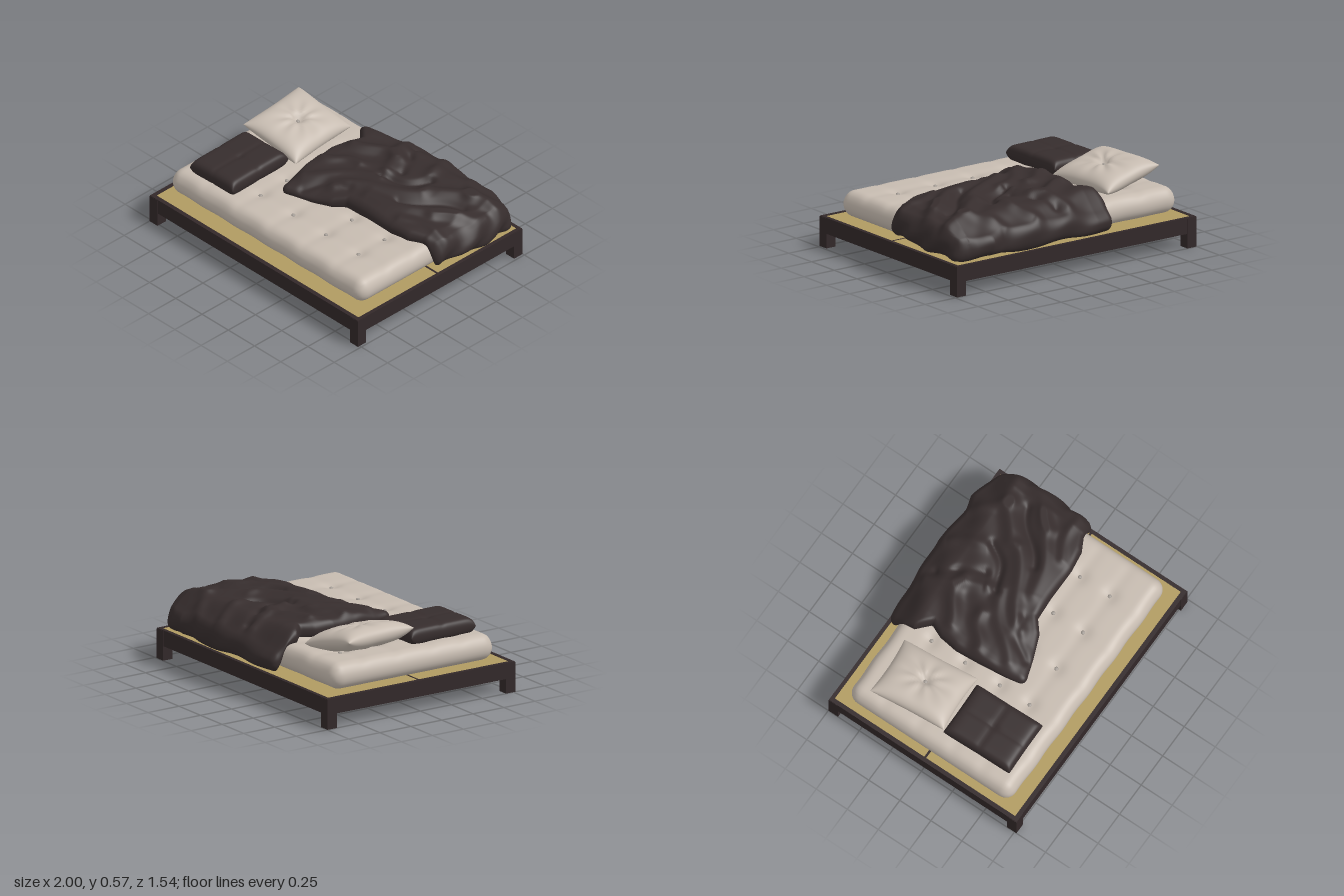
import * as THREE from 'three';
import { mergeVertices } from 'three/addons/utils/BufferGeometryUtils.js';

const { clamp, lerp, smoothstep } = THREE.MathUtils;
const mat = (name, color) => new THREE.MeshStandardMaterial({ name, color });

// Piecewise curve through [t, value] pairs
function curve(points, t) {
  for (let i = 1; i < points.length; i++) {
    const [a, va] = points[i - 1], [b, vb] = points[i];
    if (t <= b) return lerp(va, vb, clamp((t - a) / (b - a), 0, 1));
  }
  return points[points.length - 1][1];
}

// Move every vertex of a geometry by a rule and rebuild smooth normals
function reshape(geo, rule) {
  geo.deleteAttribute('uv');
  geo.deleteAttribute('normal');
  const p = geo.attributes.position, v = new THREE.Vector3();
  for (let i = 0; i < p.count; i++) {
    rule(v.fromBufferAttribute(p, i));
    p.setXYZ(i, v.x, v.y, v.z);
  }
  const merged = mergeVertices(geo, 1e-5);
  merged.computeVertexNormals();
  return merged;
}

// Finely divided box with round edges, then warped
function softBox(w, h, d, r, sx, sy, sz, warp) {
  const core = new THREE.Vector3();
  return reshape(new THREE.BoxGeometry(w, h, d, sx, sy, sz), v => {
    core.set(
      clamp(v.x, r - w / 2, w / 2 - r),
      clamp(v.y, r - h / 2, h / 2 - r),
      clamp(v.z, r - d / 2, d / 2 - r));
    v.sub(core);
    if (v.length() > 0) v.setLength(r);
    v.add(core);
    warp(v);
  });
}

// Pillow: two puffed faces meeting in a seam
function pillow(w, h, d, pinch, power, crease) {
  return reshape(new THREE.BoxGeometry(2, 2, 2, 48, 1, 48), v => {
    const u = Math.sin(v.x * Math.PI / 2), t = Math.sin(v.z * Math.PI / 2);
    const puff = Math.sqrt(Math.max(0, (1 - Math.abs(u) ** power) * (1 - Math.abs(t) ** power)));
    v.y = v.y * puff * (h / 2) * crease(u, t);
    v.x = u * w / 2 * (1 - pinch * (1 - t * t));
    v.z = t * d / 2 * (1 - pinch * (1 - u * u));
  });
}

// Duvet outline and height
const LEFT = [[0, -.34], [.2, -.33], [.28, -.24], [.37, -.28], [.5, -.3], [.7, -.285], [.85, -.265], [1, -.235]];
const RIGHT = [[0, .94], [.1, .97], [.4, 1], [.7, .99], [1, .96]];
const BACK = [[0, -.73], [.25, -.75], [.5, -.77], [.72, -.745], [.8, -.77], [.9, -.74], [1, -.7]];
const FRONT = [[0, .305], [.15, .245], [.29, .18], [.36, .11], [.5, .1], [.7, .1], [.82, .08], [.9, .03], [1, .01]];
const CREST = [[-.34, .485], [-.2, .495], [0, .485], [.2, .49], [.6, .48], [.86, .455], [.93, .425], [1, .36]];
// Folds: start x, z, end x, z, height, width
const FOLDS = [
  [-.2, .12, .2, -.2, .03, .05], [.05, .08, .5, -.28, .03, .05], [.2, -.2, .45, -.42, -.03, .03],
  [.5, -.36, .9, -.55, .028, .055], [.3, 0, .85, -.25, .026, .055], [-.2, -.35, .15, -.45, .03, .05],
  [.0, -.66, .15, -.3, .026, .04], [.1, -.62, .24, -.36, -.024, .03], [.3, -.7, .42, -.45, .024, .045],
  [.55, -.72, .75, -.5, .024, .045], [.6, 0, .93, -.08, .02, .04], [-.24, -.1, 0, -.2, .03, .05],
  [.45, -.12, .8, -.38, -.022, .03], [-.12, .2, .12, .02, -.016, .03], [.75, -.15, .95, -.45, .02, .045],
];
function foldHeight(x, z) {
  let y = 0;
  for (const [ax, az, bx, bz, h, w] of FOLDS) {
    const dx = bx - ax, dz = bz - az;
    const k = clamp(((x - ax) * dx + (z - az) * dz) / (dx * dx + dz * dz), 0, 1);
    const bend = .02 * Math.sin(k * 5 + ax * 9);
    const ox = x - ax - k * dx + bend, oz = z - az - k * dz + bend;
    y += h * Math.exp(-(ox * ox + oz * oz) / (w * w));
  }
  const q = x * .6 + z * .8 + .03 * Math.sin(x * 9);
  return clamp(y + .005 * Math.sin(q * 30), -.035, .038);
}
function duvetWarp(v) {
  const u = clamp(v.x / 1.25 + .5, 0, 1), t = clamp(v.z / .9 + .5, 0, 1), k = v.y / .1 + .5;
  const x = lerp(curve(LEFT, t), curve(RIGHT, t), u);
  const z = lerp(curve(BACK, u), curve(FRONT, u), t);
  const over = Math.max(smoothstep(x, .86, .93), 1 - smoothstep(z, -.69, -.6));
  const hem = lerp(.225, .25, smoothstep(z, -.6, -.2));
  const floor = lerp(.375, hem + .01 * Math.sin(z * 17 + x * 11), over);
  let top = curve(CREST, x) + foldHeight(x, z);
  top -= .11 * (1 - smoothstep(z, -.78, -.54));
  top -= .07 * (1 - smoothstep(z, -.72, -.5)) * (1 - smoothstep(x, -.3, .1));
  top -= .045 * smoothstep(z, 0, .28);
  // Vertical pleats along the hanging sides
  if (x > .86) v.x = x + .01 * over * Math.sin(z * 26 + k * 4);
  else v.x = x;
  v.z = z + .004 * over * Math.sin(x * 20 + k * 4);
  v.y = lerp(floor, Math.max(top, floor + .05), k);
}

export function createModel() {
  const root = new THREE.Group();
  const darkWood = mat('darkWood', 0x322829);
  const darkCloth = mat('darkCloth', 0x362d2d);
  const cream = mat('creamCotton', 0xc6bbb0);
  const straw = mat('straw', 0xb09b61);
  const buttonGrey = mat('buttonGrey', 0xa39c95);

  const add = (name, geo, material, x = 0, y = 0, z = 0) => {
    const m = new THREE.Mesh(geo, material);
    m.name = name;
    m.position.set(x, y, z);
    root.add(m);
    return m;
  };
  const box = (name, material, x0, x1, y0, y1, z0, z1) => add(name,
    new THREE.BoxGeometry(x1 - x0, y1 - y0, z1 - z0), material,
    (x0 + x1) / 2, (y0 + y1) / 2, (z0 + z1) / 2);

  // Bed frame
  for (const x of [-1, .908]) for (const z of [-.748, .69])
    box('leg', darkWood, x, x + .076, 0, .205, z, z + .076);
  box('frontRail', darkWood, -.998, .982, .1, .21, .733, .764);
  box('backRail', darkWood, -.998, .982, .1, .21, -.746, -.72);
  box('rightRail', darkWood, -.998, -.968, .1, .21, -.72, .733);
  box('leftRail', darkWood, .955, .982, .1, .21, -.72, .733);
  box('basePanel', darkWood, -.968, .955, .115, .19, -.72, .733);

  // Two straw mats with a dark joint between them
  box('backMat', straw, -.968, .955, .19, .208, -.72, 0);
  box('frontMat', straw, -.968, .955, .19, .208, .016, .733);
  box('matJoint', darkWood, -.968, .955, .19, .2075, 0, .016);

  // Tufted mattress
  const cols = [-.63, -.32, -.01, .3, .61], rows = [-.39, -.12, .16, .4];
  const cx = -.015, cy = .306, cz = .008;
  const mattress = softBox(1.84, .174, 1.305, .085, 110, 8, 80, v => {
    const x = v.x + cx, z = v.z + cz;
    let dip = 0, seamX = 0, seamZ = 0;
    for (const c of cols) seamX += Math.exp(-((x - c) ** 2) / .002);
    for (const r of rows) seamZ += Math.exp(-((z - r) ** 2) / .002);
    for (const c of cols) for (const r of rows)
      dip += .016 * Math.exp(-((x - c) ** 2 + (z - r) ** 2) / .003);
    if (v.y > 0) v.y += (.008 - dip - .005 * (seamX + seamZ)) * smoothstep(v.y, .03, .085);
    v.z += Math.sign(v.z) * .003 * Math.cos((x + .01) * 20.3) * smoothstep(Math.abs(v.z), .5, .65);
  });
  add('mattress', mattress, cream, cx, cy, cz);
  const button = new THREE.SphereGeometry(.014, 12, 8);
  for (const c of cols) for (const r of rows)
    add('mattressButton', button, buttonGrey, c, .378, r).scale.y = .6;

  // Propped cream pillow with creases running out from its button
  const creamPillow = pillow(.47, .165, .56, .05, 3.6, (u, t) => {
    const r = Math.hypot(u, t), a = Math.atan2(t, u);
    return 1 - .5 * Math.exp(-r * r / .03) - .14 * (.5 + .5 * Math.cos(a * 8)) * Math.exp(-((r - .4) ** 2) / .12);
  });
  const propped = add('creamPillow', creamPillow, cream, -.63, .47, -.235);
  propped.rotation.set(0, .09, -.23);
  add('pillowButton', button, buttonGrey, -.62, .512, -.232).scale.y = .6;

  // Flat dark pillow with full round edges and a shallow cross seam
  const darkPillow = pillow(.4, .122, .525, .012, 12, (u, t) =>
    1 - .08 * Math.exp(-u * u / .006) - .08 * Math.exp(-t * t / .006) - .1 * Math.exp(-(u * u + t * t) / .02));
  add('darkPillow', darkPillow, darkCloth, -.617, .443, .312).rotation.y = .02;

  // Rumpled duvet hanging over the back and left sides
  add('duvet', softBox(1.25, .1, .9, .045, 120, 10, 90, duvetWarp), darkCloth);

  return root;
}
